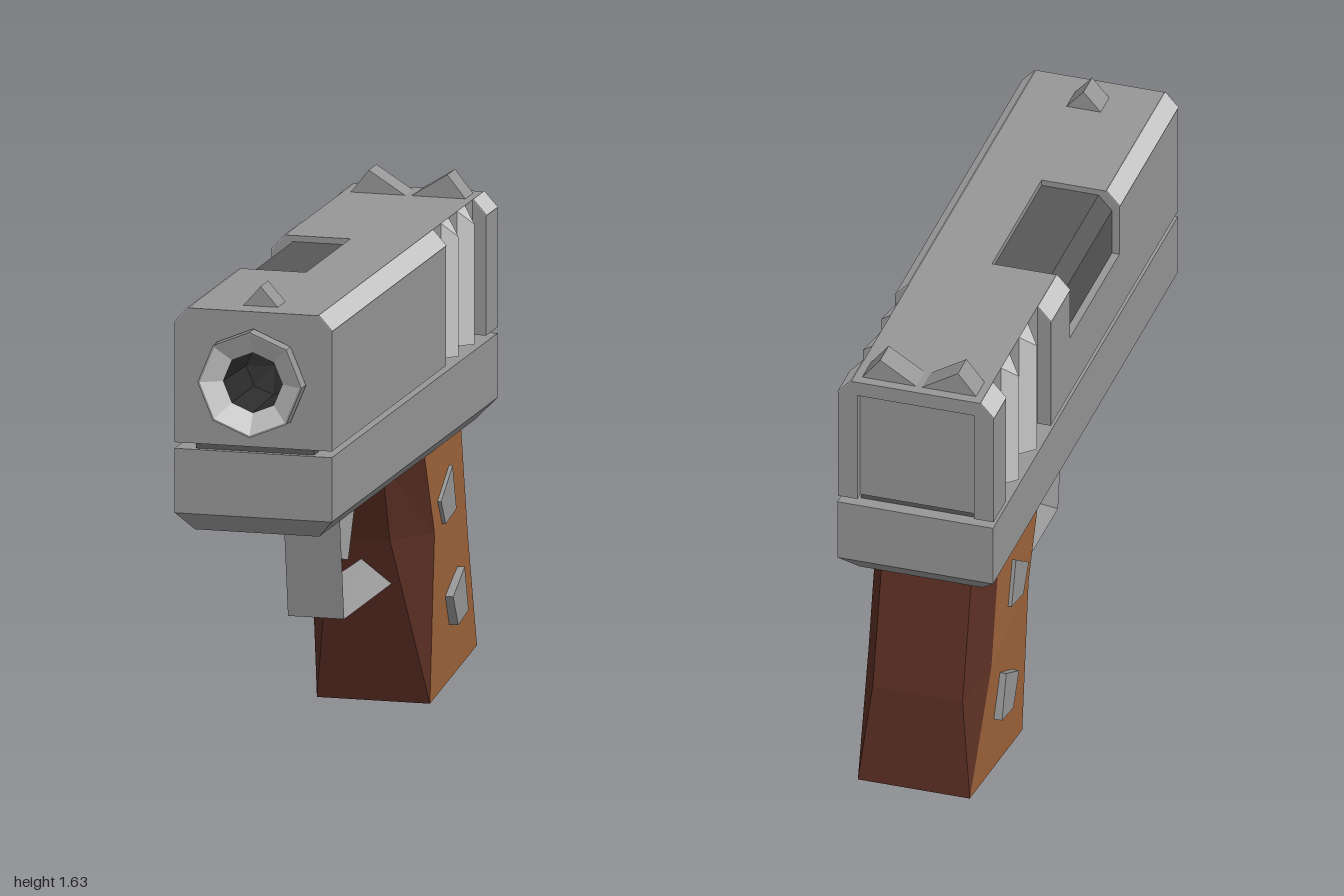
import * as THREE from 'three';

const mat = (name, color) => Object.assign(new THREE.MeshStandardMaterial({ color }), { name });

export function createModel() {
  const model = new THREE.Group();
  const steel = mat('steel', 0x979797);
  const lightSteel = mat('lightSteel', 0xc6c6c6);
  const darkSteel = mat('darkSteel', 0x585858);
  const black = mat('black', 0x2c2c2c);
  const wood = mat('wood', 0xa0653b);
  const darkWood = mat('darkWood', 0x5a2e23);

  const add = (name, geometry, material) => {
    const flat = geometry.index ? geometry.toNonIndexed() : geometry;
    flat.computeVertexNormals();
    const mesh = new THREE.Mesh(flat, material);
    mesh.name = name;
    model.add(mesh);
  };
  const shapeOf = (pts) => new THREE.Shape(pts.map(([x, y]) => new THREE.Vector2(x, y)));

  // Front outline (x, y) extruded from z0 to z1
  const alongZ = (pts, z0, z1, hole) => {
    const shape = shapeOf(pts);
    if (hole) shape.holes.push(hole);
    return new THREE.ExtrudeGeometry(shape, { depth: z1 - z0, bevelEnabled: false }).translate(0, 0, z0);
  };
  // Side outline (z, y) extruded to +-half in x
  const alongX = (pts, half) =>
    new THREE.ExtrudeGeometry(shapeOf(pts.map(([z, y]) => [-z, y])), { depth: 2 * half, bevelEnabled: false })
      .translate(0, 0, -half).rotateY(Math.PI / 2);

  // Closed loft through rings, top to bottom, each counterclockwise from above.
  // slot(i) picks the material of side i; the caps use slot 0.
  const loft = (rings, slot = () => 0) => {
    const lists = [[], []];
    const n = rings[0].length;
    const tri = (k, ...p) => p.forEach((v) => lists[k].push(...v));
    for (let r = 0; r < rings.length - 1; r++) {
      for (let i = 0; i < n; i++) {
        const j = (i + 1) % n, a = rings[r], b = rings[r + 1];
        tri(slot(i), a[i], b[i], b[j]);
        tri(slot(i), a[i], b[j], a[j]);
      }
    }
    const top = rings[0], low = rings[rings.length - 1];
    for (let i = 1; i < n - 1; i++) {
      tri(0, top[0], top[i], top[i + 1]);
      tri(0, low[0], low[i + 1], low[i]);
    }
    const g = new THREE.BufferGeometry();
    g.setAttribute('position', new THREE.Float32BufferAttribute([...lists[0], ...lists[1]], 3));
    g.addGroup(0, lists[0].length / 3, 0);
    if (lists[1].length) g.addGroup(lists[0].length / 3, lists[1].length / 3, 1);
    return g;
  };

  // Slide, in sections from muzzle to rear
  const full = [[-0.26, 1.12], [0.26, 1.12], [0.26, 1.51], [0.215, 1.56], [-0.215, 1.56], [-0.26, 1.51]];
  const muzzleHole = new THREE.Path(Array.from({ length: 8 }, (_, k) => {
    const a = k * Math.PI / 4;
    return new THREE.Vector2(0.174 * Math.sin(a), 1.33 + 0.174 * Math.cos(a));
  }));
  add('slideFront', alongZ(full, 0.34, 0.955, muzzleHole), steel);
  add('slidePortSection', alongZ([[-0.26, 1.12], [0.26, 1.12], [0.26, 1.51], [0.215, 1.56],
    [0, 1.56], [0, 1.33], [-0.26, 1.33]], -0.18, 0.34), steel);
  add('slideMiddle', alongZ(full, -0.38, -0.18), steel);
  add('slideGripSection', alongZ([[-0.215, 1.12], [0.215, 1.12], [0.215, 1.56], [-0.215, 1.56]], -0.85, -0.38), steel);
  add('slideRear', alongZ(full, -0.95, -0.85), steel);
  add('slideRearRim', alongZ([[-0.26, 1.12], [-0.195, 1.12], [-0.195, 1.51], [0.195, 1.51], [0.195, 1.12],
    [0.26, 1.12], [0.26, 1.51], [0.215, 1.56], [-0.215, 1.56], [-0.26, 1.51]], -0.98, -0.95), steel);

  // Light faces on the slide's upper bevels
  for (const [s, z0, z1] of [[1, -0.38, 0.955], [1, -0.98, -0.85], [-1, 0.34, 0.955], [-1, -0.38, -0.18], [-1, -0.98, -0.85]]) {
    add('bevelFace', alongZ([[s * 0.26, 1.51], [s * 0.262, 1.512], [s * 0.217, 1.562], [s * 0.215, 1.56]], z0, z1), lightSteel);
  }

  // Dark chamber seen through the port
  add('ejectionPort', alongZ([[0, 1.33], [0, 1.54], [-0.19, 1.54], [-0.235, 1.49], [-0.235, 1.33]], -0.18, 0.34), darkSteel);

  // Wedge ridges on both sides of the slide
  for (const s of [1, -1]) {
    for (const z of [-0.525, -0.715]) {
      const ring = (yBase, yTip) => [[s * 0.215, yBase, z + s * 0.045], [s * 0.26, yTip, z], [s * 0.215, yBase, z - s * 0.045]];
      add('slideRidge', loft([ring(1.56, 1.51), ring(1.12, 1.12)]), lightSteel);
    }
  }

  // Eight-sided barrel end, its funnel and the bore
  const turned = (pts) => new THREE.LatheGeometry(pts.map(([r, z]) => new THREE.Vector2(r, z)), 8)
    .rotateX(Math.PI / 2).translate(0, 1.33, 0);
  add('barrel', turned([[0.172, 0.7], [0.172, 1], [0.165, 1]]), steel);
  add('muzzleFunnel', turned([[0.165, 1], [0.098, 0.96]]), lightSteel);
  add('bore', turned([[0.098, 0.96], [0.09, 0.72], [0, 0.7]]), black);

  // Sights
  add('frontSight', alongZ([[-0.057, 1.56], [0.057, 1.56], [0, 1.625]], 0.78, 0.87), steel);
  for (const s of [1, -1]) {
    add('rearSight', alongZ([[s * 0.01, 1.56], [s * 0.19, 1.56], [s * 0.13, 1.635]], -0.945, -0.855), steel);
  }

  // Frame with bevelled underside, and the dark rail joining it to the slide
  const rect = (x, y, z0, z1) => [[x, y, z1], [x, y, z0], [-x, y, z0], [-x, y, z1]];
  add('rail', loft([rect(0.195, 1.13, -0.94, 0.935), rect(0.195, 1.09, -0.94, 0.935)]), darkSteel);
  add('frame', loft([rect(0.26, 1.1, -0.985, 0.955), rect(0.26, 0.89, -0.985, 0.955),
    rect(0.205, 0.83, -0.925, 0.91)]), steel);

  // Trigger and guard: flat outer face, tapering to a ridge on the inside.
  // Each step gives the outer (z, y) and the ridge (z, y).
  const wedge = (half, steps) => loft(steps.map(([z, y, ridgeZ, ridgeY]) =>
    [[half, y, z], [0, ridgeY, ridgeZ], [-half, y, z]]));
  add('triggerGuard', wedge(0.093, [[0.285, 0.84, 0.17, 0.84], [0.22, 0.41, 0.11, 0.5], [-0.36, 0.41, -0.36, 0.49]]), steel);
  add('trigger', wedge(0.05, [[-0.035, 0.84, -0.18, 0.84], [-0.06, 0.73, -0.17, 0.69], [0.02, 0.56, 0.015, 0.56]]), steel);

  // Grip: eight-sided at the top, closing to a rectangle at the foot
  const gripRing = (half) => [...half, ...half.map(([x, y, z]) => [-x, y, z]).reverse()];
  add('grip', loft([
    gripRing([[0.1, 0.84, -0.19], [0.205, 0.84, -0.32], [0.205, 0.84, -0.75], [0.15, 0.84, -0.86]]),
    gripRing([[0.1, 0.56, -0.29], [0.205, 0.56, -0.44], [0.205, 0.47, -0.83], [0.15, 0.41, -0.96]]),
    gripRing([[0.187, 0, -0.45], [0.187, 0, -0.45], [0.187, 0.075, -1], [0.187, 0.075, -1]]),
  ], (i) => (i === 1 || i === 5 ? 0 : 1)), [wood, darkWood]);

  // Studs passing through both sides of the grip
  add('upperStud', alongX([[-0.475, 0.655], [-0.61, 0.745], [-0.655, 0.595], [-0.53, 0.57]], 0.217), steel);
  add('lowerStud', alongX([[-0.595, 0.32], [-0.73, 0.39], [-0.775, 0.24], [-0.655, 0.215]], 0.223), steel);

  return model;
}
